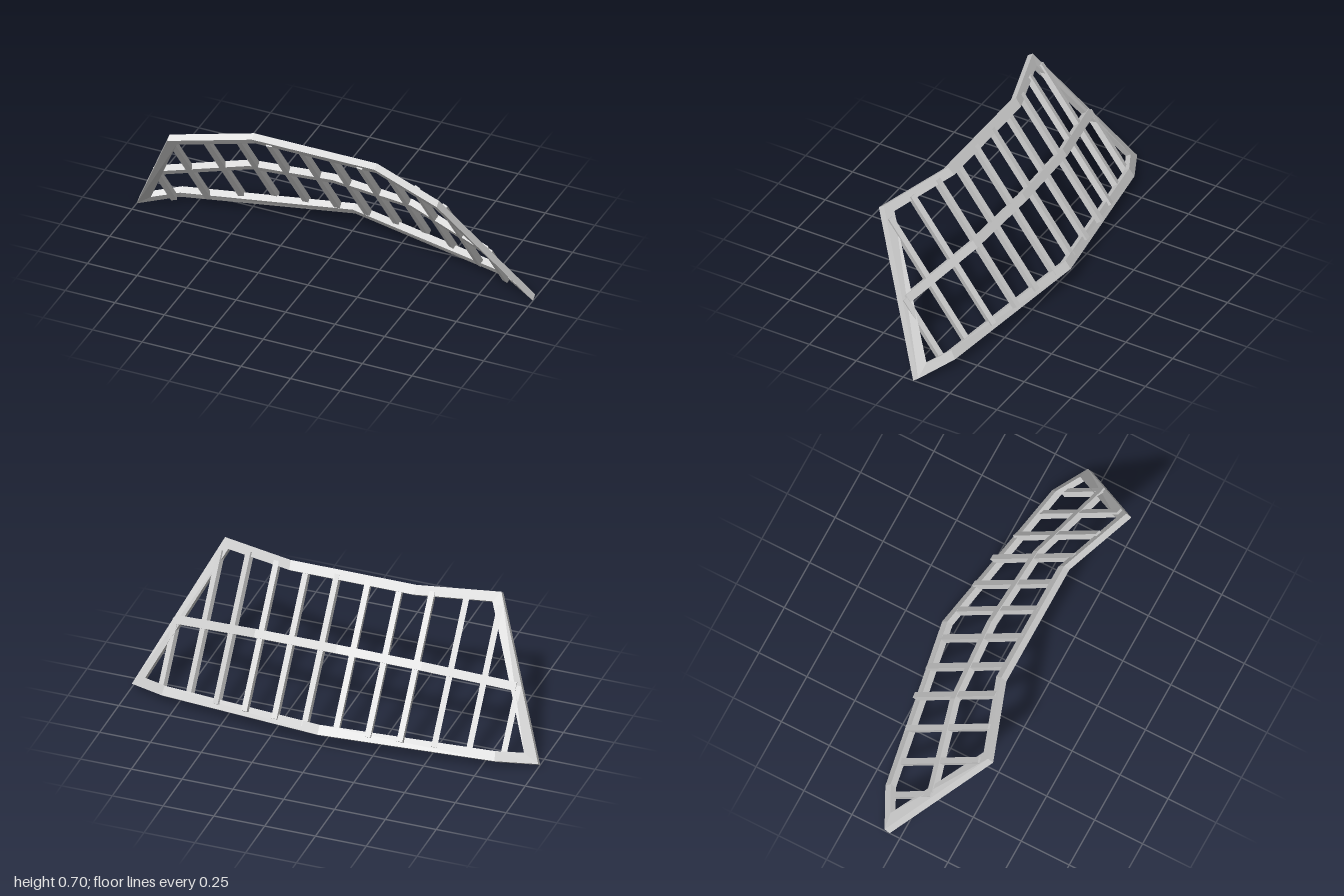
import * as THREE from 'three';

const DEPTH = 0.033; // thickness of the frame, measured across the sheet

// Bar through four-cornered sections: [outer back, inner back, inner front, outer front]
function sweep(sections, closed) {
  const pos = [];
  const quad = (a, b, c, d) => [a, b, c, a, c, d].forEach(p => pos.push(...p));
  const n = sections.length;
  for (let i = 0; i < (closed ? n : n - 1); i++) {
    const s = sections[i], t = sections[(i + 1) % n];
    for (let k = 0; k < 4; k++) {
      const m = (k + 1) % 4;
      quad(s[k], s[m], t[m], t[k]);
    }
  }
  if (!closed) {
    const [a, b, c, d] = sections[0];
    quad(d, c, b, a);
    quad(...sections[n - 1]);
  }
  const geo = new THREE.BufferGeometry();
  geo.setAttribute('position', new THREE.Float32BufferAttribute(pos, 3));
  geo.computeVertexNormals();
  return geo;
}

// Points are [x, height along the slope, bulge towards the back]
const section = ([xo, uo, vo], [xi, ui, vi]) => [
  [xo, uo, -vo], [xi, ui, -vi], [xi, ui, DEPTH - vi], [xo, uo, DEPTH - vo],
];
const flip = ([x, u, v]) => [-x, u, v];

// Piecewise linear lookup in a list of [x, y]
function lookup(list, x) {
  let i = 1;
  while (i < list.length - 1 && x > list[i][0]) i++;
  const [x0, y0] = list[i - 1], [x1, y1] = list[i];
  return { y: y0 + (y1 - y0) * (x - x0) / (x1 - x0), slope: (y1 - y0) / (x1 - x0) };
}

export function createModel() {
  const model = new THREE.Group();
  model.name = 'curvedWindowFrame';
  const mat = new THREE.MeshStandardMaterial({ color: 0xcccccc, flatShading: true });
  const sheet = new THREE.Group(); // built upright, then tilted
  sheet.name = 'tiltedFrame';
  sheet.rotation.x = Math.atan2(0.6, 0.8);
  model.add(sheet);
  const add = (geo, name) => {
    const mesh = new THREE.Mesh(geo, mat);
    mesh.name = name;
    sheet.add(mesh);
    return mesh;
  };

  // Outer frame: bottom centre, right half, mirrored left half
  const half = [
    [[0.82, -0.063, 0.167], [0.812, -0.017, 0.171]],
    [[1, -0.032, 0.076], [0.932, 0.005, 0.11]],
    [[0.68, 0.71, 0.17], [0.65, 0.658, 0.18]],
    [[0.31, 0.658, 0.29], [0.305, 0.611, 0.291]],
  ];
  const loop = [
    [[0, -0.11, 0.305], [0, -0.063, 0.305]],
    ...half,
    ...half.slice().reverse().map(pair => pair.map(flip)),
  ];
  add(sweep(loop.map(([o, i]) => section(o, i)), true), 'outerFrame');

  // Middle rail across the frame
  const curve = [[0, 0.301], [0.41, 0.271], [0.835, 0.137]];
  const full = [...curve.slice(1).reverse().map(([x, v]) => [-x, v]), ...curve];
  add(sweep(full.map(([x, v]) => section([x, 0.275, v], [x, 0.316, v])), false), 'middleRail');

  // Upright bars, turned to follow the bulge
  const bottom = [[0, -0.11], [0.82, -0.063], [1, -0.032]];
  const top = [[0, 0.658], [0.31, 0.658], [0.675, 0.7], [0.69, 0.66], [0.85, 0.3]];
  for (let i = 0; i < 6; i++) {
    const x = 0.0763 + i * 0.1526;
    const low = lookup(bottom, x).y + 0.022, high = lookup(top, x).y - 0.022;
    const { y: v, slope } = lookup(curve, x);
    for (const side of [1, -1]) {
      const bar = add(new THREE.BoxGeometry(0.028, high - low, 0.03), 'uprightBar');
      bar.position.set(side * x, (low + high) / 2, 0.019 - v);
      bar.rotation.y = side * Math.atan(slope) * 1;
    }
  }
  return model;
}
